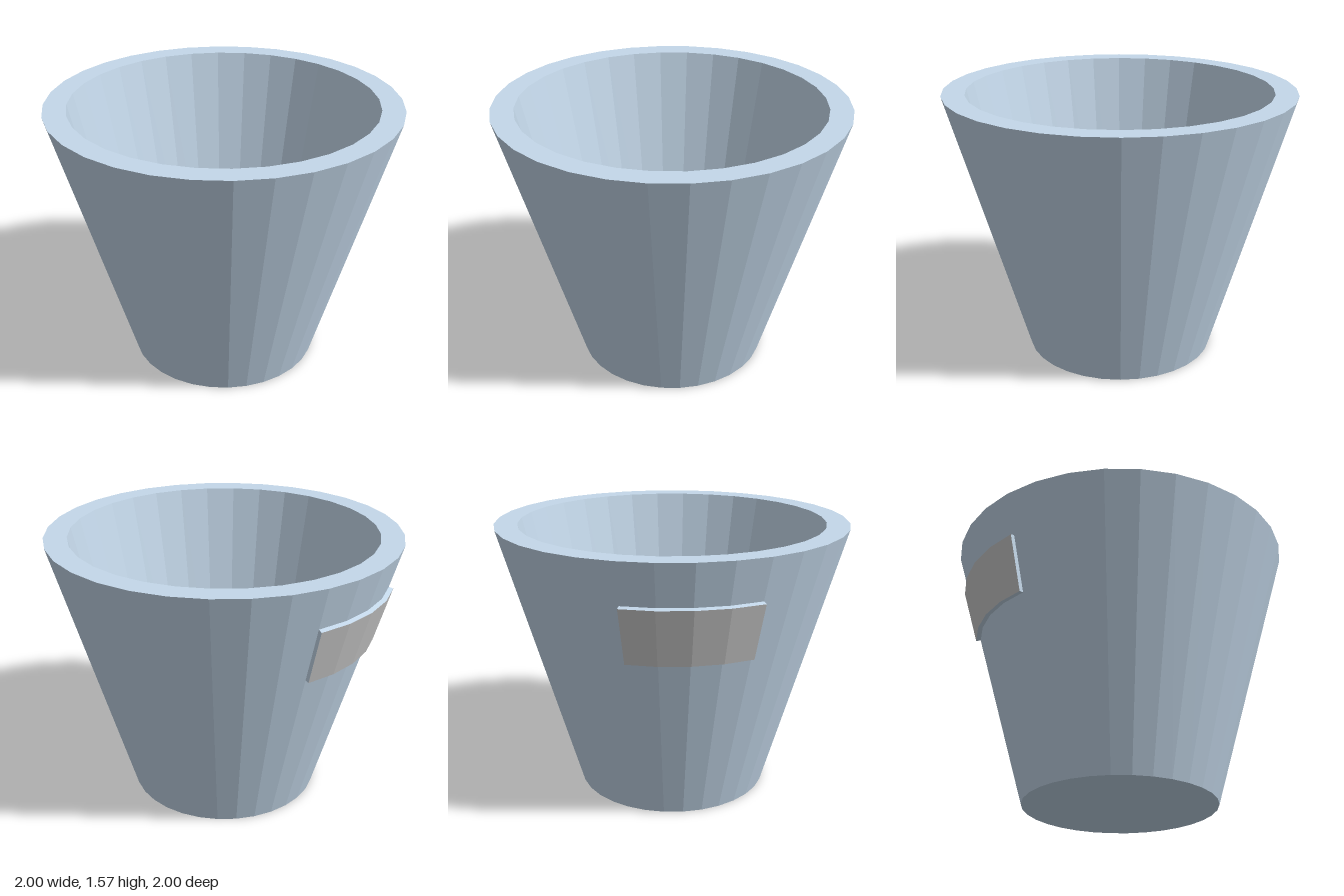
import * as THREE from 'three';

const BLUE = 0xc4d8ea, GREY = 0xcccccc;
const SIDES = 32, STEP = Math.PI * 2 / SIDES;

function mat(color, extra = {}) {
  return new THREE.MeshStandardMaterial({ color, flatShading: true, ...extra });
}

function add(parent, name, geometry, material) {
  const mesh = new THREE.Mesh(geometry, material);
  mesh.name = name;
  parent.add(mesh);
  return mesh;
}

const v2 = (list) => list.map(([x, y]) => new THREE.Vector2(x, y));

// Small seeded generator for the crumpled lumps
function seeded(seed) {
  return () => {
    seed = (seed * 16807) % 2147483647;
    return seed / 2147483647;
  };
}

// Squashed sphere whose facets are pushed in and out at random
function lumpGeometry(rx, ry, rz, seed) {
  const rand = seeded(seed);
  const cols = 24, rows = 12;
  const geo = new THREE.SphereGeometry(1, cols, rows);
  const pos = geo.attributes.position;
  for (let j = 0; j <= rows; j++) {
    let first = 1;
    for (let i = 0; i <= cols; i++) {
      const k = j * (cols + 1) + i;
      let s = 1 - 0.06 * rand();
      if (i === 0) first = s;
      if (i === cols) s = first; // close the seam
      if (j === 0 || j === rows) s = 0.97;
      pos.setXYZ(k, pos.getX(k) * rx * s, pos.getY(k) * ry * s, pos.getZ(k) * rz * s);
    }
  }
  geo.computeVertexNormals();
  return geo;
}

// Curved label plate that follows the sloping back of the bucket
function buildPlate() {
  const plate = new THREE.Group();
  plate.name = 'labelPlate';
  const inLow = [0.835, 1.005], outLow = [0.867, 1.0];
  const outHigh = [0.957, 1.318], inHigh = [0.925, 1.328];
  const start = Math.PI - STEP, span = STEP * 4;
  const strip = (a, b) => new THREE.LatheGeometry(v2([a, b]), 4, start, span);
  const edge = mat(BLUE, { side: THREE.DoubleSide });
  add(plate, 'plateFace', strip(outLow, outHigh), mat(GREY));
  add(plate, 'plateBottomEdge', strip(inLow, outLow), edge);
  add(plate, 'plateTopEdge', strip(outHigh, inHigh), edge);
  for (const angle of [start, start + span]) {
    const cap = new THREE.ShapeGeometry(new THREE.Shape(v2([inLow, outLow, outHigh, inHigh])));
    add(plate, 'plateEnd', cap, edge).rotation.y = angle - Math.PI / 2;
  }
  return plate;
}

// Small red bud with pale sepals and a bent green stem
function buildBud() {
  const bud = new THREE.Group();
  bud.name = 'bud';
  const ball = add(bud, 'budBall', new THREE.SphereGeometry(0.055, 12, 8), mat(0xb06a58));
  ball.position.set(-0.165, 0.62, 0.09);
  const cup = add(bud, 'budCup', new THREE.SphereGeometry(0.07, 12, 8), mat(GREY));
  cup.position.set(-0.175, 0.585, 0.085);
  cup.scale.set(0.95, 0.7, 1.1);
  const leaf = add(bud, 'sepal', new THREE.ConeGeometry(0.025, 0.12, 8), mat(GREY));
  leaf.position.set(-0.25, 0.58, 0.125);
  leaf.rotation.z = Math.PI / 2;
  const path = new THREE.CatmullRomCurve3([
    new THREE.Vector3(-0.19, 0.58, 0.11),
    new THREE.Vector3(-0.225, 0.57, 0.17),
    new THREE.Vector3(-0.27, 0.54, 0.24),
  ]);
  add(bud, 'stem', new THREE.TubeGeometry(path, 8, 0.012, 6), mat(0x5a9a6a));
  const foot = add(bud, 'stemEnd', new THREE.SphereGeometry(0.045, 10, 8), mat(GREY));
  foot.position.set(-0.285, 0.525, 0.25);
  foot.scale.set(1.2, 0.7, 0.75);
  return bud;
}

export function createModel() {
  const model = new THREE.Group();
  model.name = 'bucketWithContents';

  // Tapered bucket: base, outer wall, broad rim, inner wall, floor
  const profile = v2([[0, 0], [0.555, 0], [1, 1.565], [0.87, 1.565], [0.57, 0.2], [0, 0.2]]);
  add(model, 'bucket', new THREE.LatheGeometry(profile, SIDES), mat(BLUE));

  model.add(buildPlate());

  // Crumpled heap on the floor, made of overlapping lumps
  const heap = new THREE.Group();
  heap.name = 'heap';
  for (let i = 0; i < 3; i++) {
    const lump = add(heap, 'heapLump', lumpGeometry(0.535, 0.2, 0.46, 17 + i * 911), mat(GREY));
    lump.position.y = 0.39;
  }
  model.add(heap);

  model.add(buildBud());
  return model;
}
